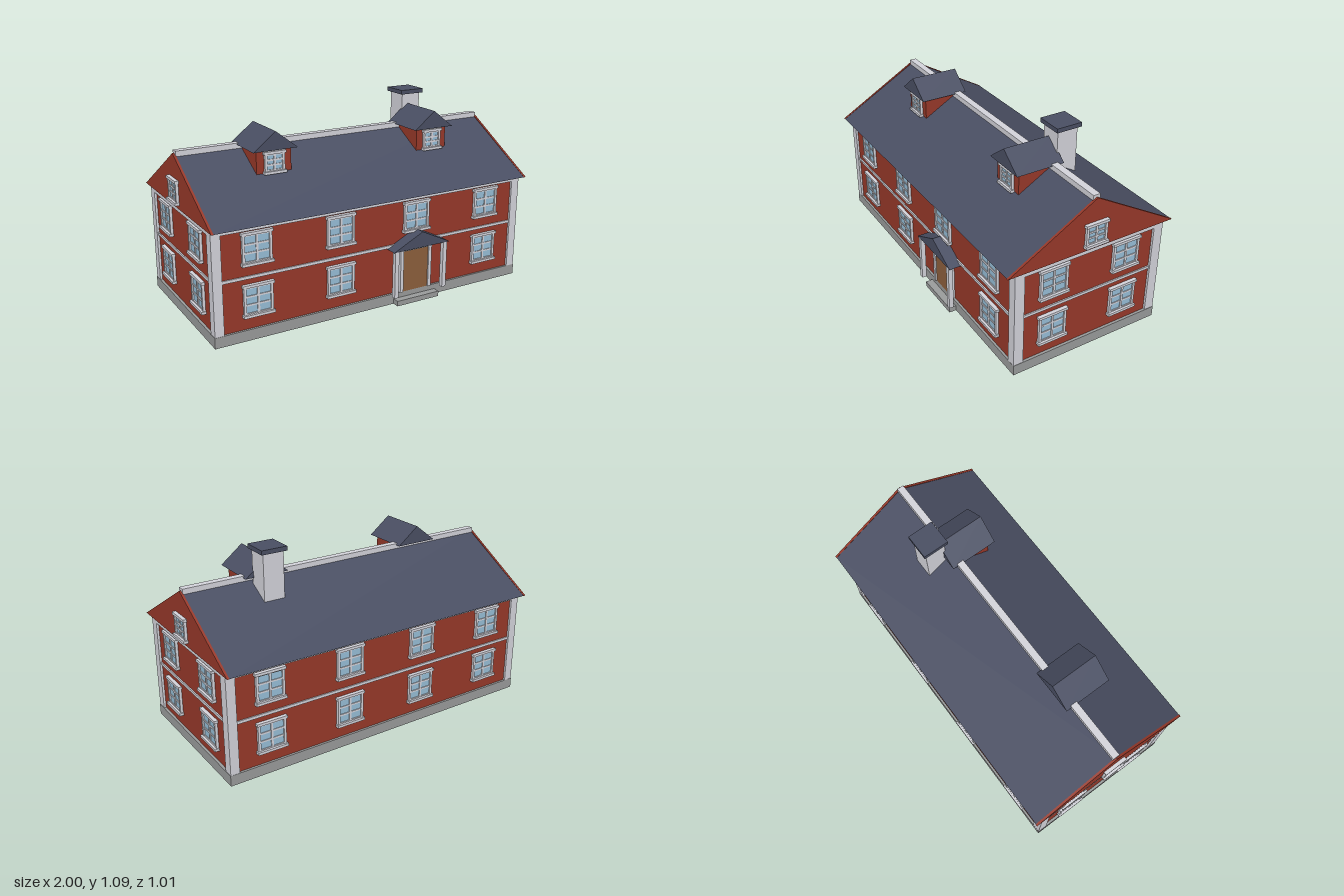
import * as THREE from 'three';

const mat = (name, color) => {
  const m = new THREE.MeshStandardMaterial({ color });
  m.name = name;
  return m;
};

export function createModel() {
  const red = mat('red boards', 0x963829);
  const trim = mat('pale trim', 0xd2d2d9);
  const slate = mat('slate', 0x494e62);
  const stone = mat('stone', 0x989a9a);
  const glass = mat('glass', 0x96bdd6);
  const wood = mat('door wood', 0x8b5e3c);

  const house = new THREE.Group();
  house.name = 'house';
  house.position.z = -0.003;

  // Box given by its limits on each axis
  function box(name, material, [x0, x1], [y0, y1], [z0, z1], parent = house) {
    const m = new THREE.Mesh(new THREE.BoxGeometry(x1 - x0, y1 - y0, z1 - z0), material);
    m.position.set((x0 + x1) / 2, (y0 + y1) / 2, (z0 + z1) / 2);
    m.name = name;
    parent.add(m);
    return m;
  }

  // Triangular prism, its ridge running along z from z0 to z1
  function prism(name, material, halfWidth, y0, y1, z0, z1, parent = house) {
    const shape = new THREE.Shape();
    shape.moveTo(-halfWidth, y0);
    shape.lineTo(halfWidth, y0);
    shape.lineTo(0, y1);
    shape.closePath();
    const g = new THREE.ExtrudeGeometry(shape, { depth: z1 - z0, bevelEnabled: false });
    g.translate(0, 0, z0);
    const m = new THREE.Mesh(g, material);
    m.name = name;
    parent.add(m);
    return m;
  }

  // Six-pane window of outer size w x h, centred on its place and facing local +z
  function addWindow(name, x, y, z, turn, w = 0.163, h = 0.176) {
    const g = new THREE.Group();
    g.name = name;
    g.position.set(x, y, z);
    g.rotation.y = turn;
    const a = w / 2, b = h / 2, f = 0.014;
    box('pane', glass, [-a + f, a - f], [-b + f, b - f], [0, 0.007], g);
    for (const s of [-1, 1]) {
      const e = s * (a - f / 2);
      box('jamb', trim, [e - f / 2, e + f / 2], [-b, b], [0, 0.015], g);
    }
    box('head', trim, [-a - 0.006, a + 0.006], [b - 0.015, b], [0, 0.02], g);
    box('sill', trim, [-a - 0.006, a + 0.006], [-b, -b + 0.015], [0, 0.025], g);
    for (const s of [-1, 1]) {
      box('rail', trim, [-a + f, a - f], [s > 0 ? b - 0.022 : -b + 0.015, s > 0 ? b - 0.015 : -b + 0.022], [0, 0.012], g);
      const c = s * (b - 0.02) / 3;
      box('glazing bar', trim, [-a + f, a - f], [c - 0.005, c + 0.005], [0, 0.011], g);
    }
    box('mullion', trim, [-0.006, 0.006], [-b + f, b - f], [0, 0.012], g);
    house.add(g);
  }

  // Body
  box('foundation', stone, [-0.965, 0.965], [0, 0.06], [-0.45, 0.45]);
  box('walls', red, [-0.95, 0.95], [0.06, 0.62], [-0.437, 0.437]);
  box('midBand', trim, [-0.957, 0.957], [0.334, 0.35], [-0.444, 0.444]);
  box('frieze', trim, [-0.963, 0.963], [0.59, 0.62], [-0.449, 0.449]);
  for (const sx of [-1, 1]) {
    for (const sz of [-1, 1]) {
      const x = sx * 0.9375, z = sz * 0.421;
      box('cornerBoard', trim, [x - 0.0255, x + 0.0255], [0.06, 0.59], [z - 0.028, z + 0.028]);
    }
  }

  // Main roof with red gables
  const roof = prism('roof', slate, 0.495, 0.62, 0.902, -0.962, 0.962);
  roof.rotation.y = Math.PI / 2;
  for (const s of [-1, 1]) {
    const gable = prism('gable', red, 0.497, 0.62, 0.907, s > 0 ? 0.962 : -0.975, s > 0 ? 0.975 : -0.962);
    gable.rotation.y = Math.PI / 2;
  }
  box('ridgeCap', trim, [-0.965, 0.965], [0.888, 0.92], [-0.02, 0.02]);

  // Windows on the long walls; the door takes one place at the front
  for (const y of [0.217, 0.495]) {
    for (const x of [-0.72, -0.24, 0.24, 0.72]) {
      if (y > 0.4 || x !== 0.24) addWindow('frontWindow', x, y, 0.437, 0);
      addWindow('backWindow', x, y, -0.437, Math.PI);
    }
  }
  // Windows on the end walls and gables
  for (const s of [-1, 1]) {
    for (const y of [0.217, 0.495]) {
      for (const z of [-0.22, 0.22]) addWindow('endWindow', s * 0.95, y, z, s * Math.PI / 2);
    }
    addWindow('gableWindow', s * 0.975, 0.711, 0, s * Math.PI / 2, 0.126, 0.132);
  }

  // Dormers
  for (const x of [-0.5, 0.5]) {
    box('dormerWalls', red, [x - 0.1, x + 0.1], [0.7, 0.913], [0.01, 0.2]);
    prism('dormerRoof', slate, 0.128, 0.912, 1.012, -0.052, 0.228).position.x = x;
    addWindow('dormerWindow', x, 0.845, 0.2, 0, 0.115, 0.12);
  }

  // Chimney
  box('chimney', trim, [0.46, 0.58], [0.7, 1.07], [-0.16, -0.04]);
  box('chimneyCap', slate, [0.445, 0.595], [1.07, 1.094], [-0.175, -0.025]);

  // Door and porch
  box('door', wood, [0.152, 0.325], [0.06, 0.302], [0.43, 0.45]);
  for (const x of [0.145, 0.332]) box('doorJamb', trim, [x - 0.01, x + 0.01], [0.06, 0.32], [0.43, 0.458]);
  box('doorHead', trim, [0.135, 0.342], [0.302, 0.322], [0.43, 0.458]);
  for (const x of [0.077, 0.397]) box('porchPost', trim, [x - 0.0125, x + 0.0125], [0.06, 0.33], [0.482, 0.508]);
  prism('porchRoof', slate, 0.185, 0.33, 0.42, 0.43, 0.509).position.x = 0.24;
  box('doorStep', stone, [0.097, 0.375], [0, 0.03], [0.44, 0.491]);

  const model = new THREE.Group();
  model.name = 'model';
  model.add(house);
  return model;
}
